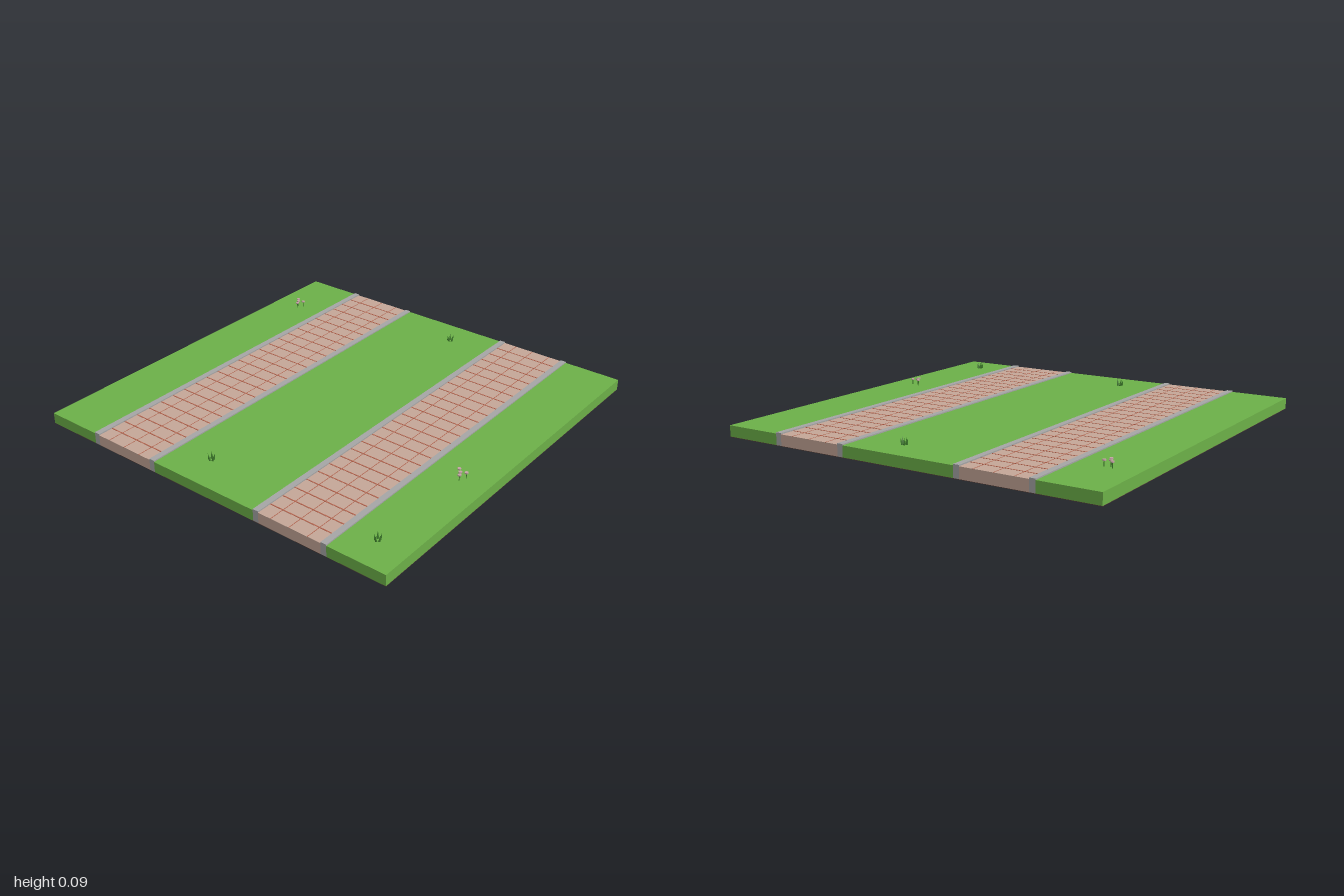
import * as THREE from 'three';

const mat = (name, color) => {
  const m = new THREE.MeshStandardMaterial({ color });
  m.name = name;
  return m;
};

export function createModel() {
  const model = new THREE.Group();
  model.name = 'parkTile';
  const lawn = mat('lawn green', 0x6cb048);
  const soil = mat('soil brown', 0x5d4037);
  const paving = mat('paving pink', 0xc4a697);
  const joint = mat('joint red', 0xb0604a);
  const kerbGrey = mat('kerb grey', 0xa5a5a5);
  const blade = mat('blade green', 0x3c7a2a);
  const petal = mat('petal', 0xc4a4a4);

  const add = (parent, name, geometry, material, x, y, z) => {
    const mesh = new THREE.Mesh(geometry, material);
    mesh.name = name;
    mesh.position.set(x, y, z);
    parent.add(mesh);
    return mesh;
  };
  // Box given by its limits in x and y, and its centre and length in z
  const slab = (parent, name, material, x0, x1, y0, y1, z = 0, length = 2) =>
    add(parent, name, new THREE.BoxGeometry(x1 - x0, y1 - y0, length), material,
      (x0 + x1) / 2, (y0 + y1) / 2, z);

  // Ground: soil underside with three strips of lawn
  const top = 0.057;
  slab(model, 'soilBase', soil, -1, 1, 0, 0.002);
  for (const [x0, x1] of [[-1, -0.7], [-0.3, 0.3], [0.7, 1]])
    slab(model, 'lawnStrip', lawn, x0, x1, 0.002, top);

  // Two paved paths with kerbs and joints
  for (const cx of [-0.5, 0.5]) {
    const path = new THREE.Group();
    path.name = 'path';
    path.position.x = cx;
    model.add(path);
    slab(path, 'paving', paving, -0.17, 0.17, 0.002, top);
    for (const s of [-1, 1])
      slab(path, 'kerb', kerbGrey, s * 0.185 - 0.015, s * 0.185 + 0.015, 0.002, 0.063);
    for (let i = 0; i < 24; i++)
      slab(path, 'crossJoint', joint, -0.17, 0.17, top - 0.002, top + 0.001, -0.92 + i * 0.08, 0.006);
    for (const x of [-0.1, 0, 0.1])
      slab(path, 'longJoint', joint, x - 0.0015, x + 0.0015, top - 0.002, top + 0.0008);
  }

  // Grass tufts: a ring of leaning blades
  const bladeGeo = new THREE.ConeGeometry(0.006, 0.036, 4).translate(0, 0.018, 0);
  for (const [x, z] of [[0.08, -0.84], [-0.11, 0.825], [0.84, 0.84]]) {
    const tuft = new THREE.Group();
    tuft.name = 'grassTuft';
    tuft.position.set(x, top, z);
    model.add(tuft);
    for (let i = 0; i < 5; i++) {
      const a = i * Math.PI * 0.4;
      const b = add(tuft, 'blade', bladeGeo, blade, 0.011 * Math.sin(a), 0, 0.011 * Math.cos(a));
      b.rotation.set(0.2, a, 0, 'YXZ');
      b.scale.y = 0.85 + 0.15 * (i % 2);
    }
  }

  // Flower clusters: thin stems with flat heads
  const stemGeo = new THREE.CylinderGeometry(0.002, 0.002, 0.028, 5);
  const headGeo = new THREE.CylinderGeometry(0.009, 0.009, 0.006, 8);
  for (const [x, z] of [[-0.855, -0.67], [0.855, 0.25]]) {
    const flowers = new THREE.Group();
    flowers.name = 'flowers';
    flowers.position.set(x, top, z);
    model.add(flowers);
    for (const [dx, dz] of [[-0.02, -0.02], [0.023, -0.012], [0.008, 0.022], [-0.002, 0]]) {
      add(flowers, 'stem', stemGeo, blade, dx, 0.014, dz);
      add(flowers, 'flowerHead', headGeo, petal, dx, 0.029, dz);
    }
  }
  return model;
}
